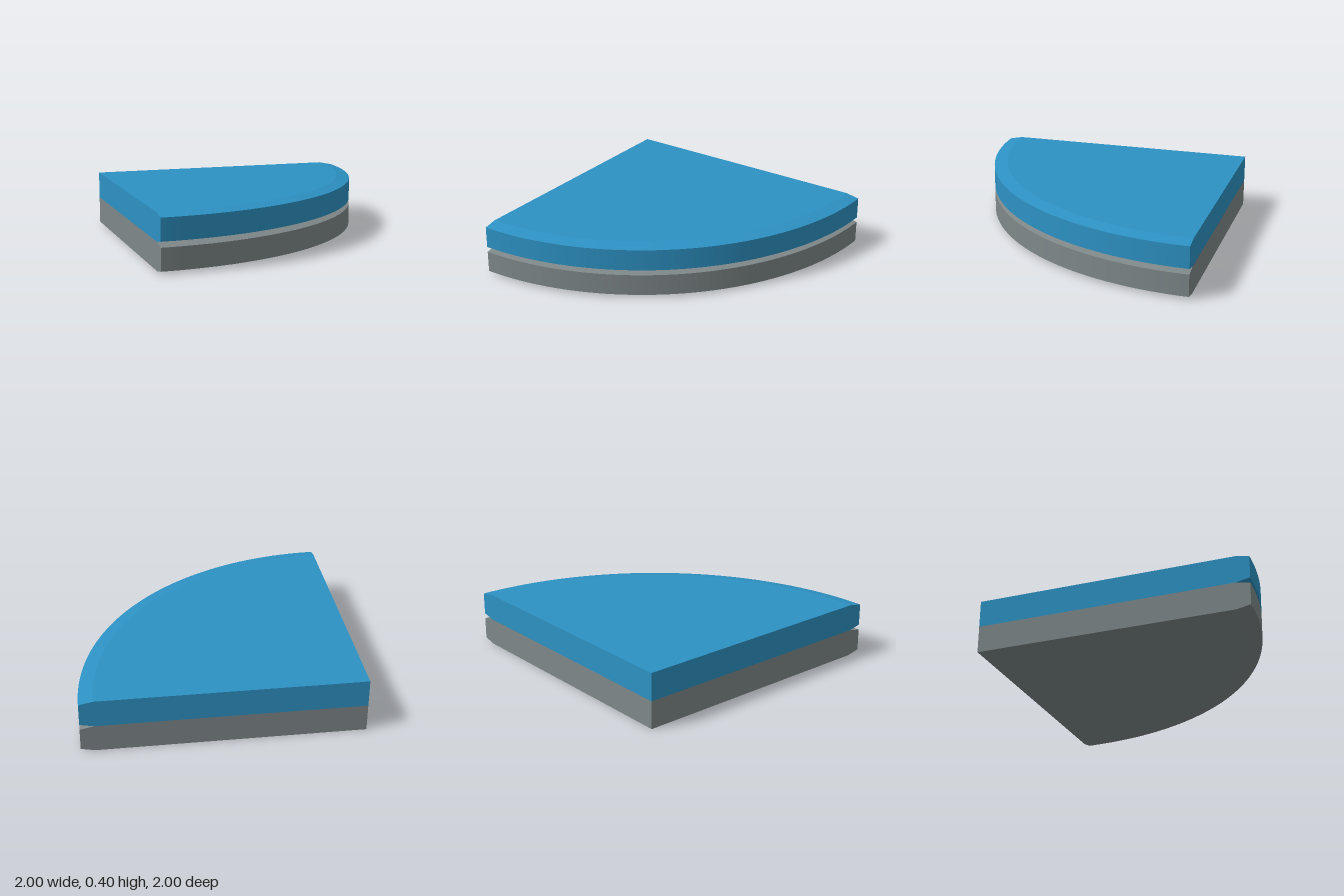
import * as THREE from 'three';
import { mergeGeometries } from 'three/addons/utils/BufferGeometryUtils.js';

const RADIUS = 2, HEIGHT = 0.2, BEVEL_IN = 0.1, BEVEL_UP = 0.02, SEGMENTS = 64;

// Half cross-section of a slab, from the bottom centre round to the top centre
const profile = [
  [0, 0], [RADIUS - BEVEL_IN, 0], [RADIUS, BEVEL_UP],
  [RADIUS, HEIGHT - BEVEL_UP], [RADIUS - BEVEL_IN, HEIGHT], [0, HEIGHT],
].map(([r, y]) => new THREE.Vector2(r, y));

// Quarter disc with bevelled rim and two flat cut walls
function quarterSlab() {
  const pieces = [];
  // Each profile edge is its own lathe, so edges between them stay sharp
  for (let i = 0; i < profile.length - 1; i++) {
    pieces.push(new THREE.LatheGeometry([profile[i], profile[i + 1]], SEGMENTS, 0, Math.PI / 2));
  }
  // Left cut wall, facing -x
  pieces.push(new THREE.ShapeGeometry(new THREE.Shape(profile)).rotateY(-Math.PI / 2));
  // Back cut wall, facing -z
  const mirrored = profile.map((p) => new THREE.Vector2(-p.x, p.y));
  pieces.push(new THREE.ShapeGeometry(new THREE.Shape(mirrored)).rotateY(Math.PI));
  return mergeGeometries(pieces);
}

export function createModel() {
  const group = new THREE.Group();
  group.name = 'quarterDiscStack';

  const grey = new THREE.MeshStandardMaterial({ color: 0x7f8889 });
  grey.name = 'grey';
  const blue = new THREE.MeshStandardMaterial({ color: 0x2d92c4 });
  blue.name = 'blue';

  // Two identical slabs, one on the other
  const geometry = quarterSlab();
  [['lowerSlab', grey], ['upperSlab', blue]].forEach(([name, material], i) => {
    const slab = new THREE.Mesh(geometry, material);
    slab.name = name;
    slab.position.set(-1, i * HEIGHT, -1);
    group.add(slab);
  });
  return group;
}
